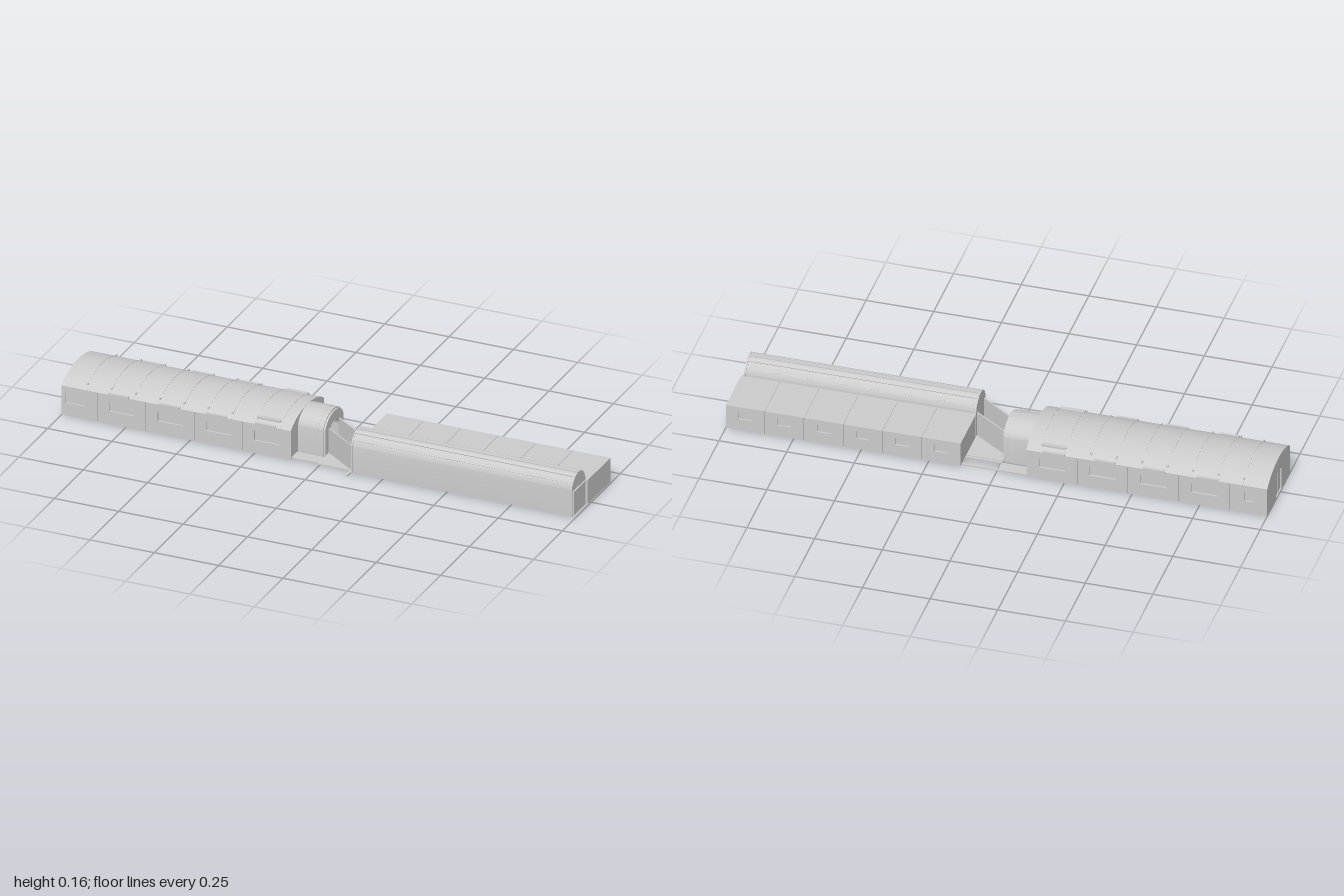
import * as THREE from 'three';
import { toCreasedNormals } from 'three/addons/utils/BufferGeometryUtils.js';

const mat = new THREE.MeshStandardMaterial({ color: 0xcccccc, side: THREE.DoubleSide });

function add(parent, name, geo) {
  const mesh = new THREE.Mesh(geo, mat);
  mesh.name = name;
  parent.add(mesh);
  return mesh;
}

// Box given by its minimum and maximum on each axis
function box(parent, name, x0, x1, y0, y1, z0, z1) {
  const mesh = add(parent, name, new THREE.BoxGeometry(x1 - x0, y1 - y0, z1 - z0));
  mesh.position.set((x0 + x1) / 2, (y0 + y1) / 2, (z0 + z1) / 2);
  return mesh;
}

// Upright outline with an elliptical crown: half width, springing height, crown height
function archPath(path, half, y0, spring, top, a0 = 0) {
  path.moveTo(-half, y0);
  path.lineTo(half, y0);
  path.lineTo(half, spring);
  const n = 28;
  for (let i = 1; i <= n; i++) {
    const a = a0 + ((Math.PI - 2 * a0) * i) / n;
    const y = spring + ((top - spring) * (Math.sin(a) - Math.sin(a0))) / (1 - Math.sin(a0));
    path.lineTo((half * Math.cos(a)) / Math.cos(a0), y);
  }
  path.lineTo(-half, y0);
  return path;
}

// Extrudes an outline along x, from x0 to x1, centred on z
function along(parent, name, shape, x0, x1, z) {
  const geo = new THREE.ExtrudeGeometry(shape, { depth: x1 - x0, bevelEnabled: false });
  const mesh = add(parent, name, toCreasedNormals(geo.rotateY(Math.PI / 2), 0.5));
  mesh.position.set(x0, 0, z);
  return mesh;
}

// Wall panel with a rounded window opening, facing z
function windowPanel(parent, x0, x1, wx0, wx1, wy0, wy1, height, z, depth) {
  const s = new THREE.Shape();
  s.moveTo(x0, 0).lineTo(x1, 0).lineTo(x1, height).lineTo(x0, height).closePath();
  const h = new THREE.Path();
  h.moveTo(wx0, wy0).lineTo(wx0, wy1).lineTo(wx1, wy1).lineTo(wx1, wy0).closePath();
  s.holes.push(h);
  const geo = new THREE.ExtrudeGeometry(s, { depth, bevelEnabled: false });
  add(parent, 'windowPanel', geo).position.z = z;
}

// Long hall with a shallow vaulted roof
function makeHall() {
  const g = new THREE.Group();
  g.name = 'vaultedHall';
  const zc = -0.017, half = 0.145, wall = 0.006;
  along(g, 'hallCore', archPath(new THREE.Shape(), half - wall, 0, 0.113, 0.153, 0.6), -0.995, -0.112, zc);
  const roof = archPath(new THREE.Shape(), half, 0.113, 0.115, 0.157, 0.6);
  along(g, 'hallRoof', roof, -1, -0.11, zc);

  // Window bays on both long sides
  const bays = [-1, -0.86, -0.673, -0.485, -0.298, -0.11];
  for (let i = 0; i < 5; i++) {
    const x0 = bays[i] + (i ? 0.0015 : 0), x1 = bays[i + 1] - 0.0015, c = (x0 + x1) / 2;
    const first = i === 0;
    windowPanel(g, x0, x1, first ? -0.985 : c - 0.048, first ? -0.905 : c + 0.048,
      0.05, 0.088, 0.113, zc + half - wall, wall);
    windowPanel(g, x0, x1, first ? -0.95 : c - 0.048, first ? -0.915 : c + 0.048,
      0.05, 0.088, 0.113, zc - half, wall);
    // Sill and glass divider
    for (const s of [-1, 1]) {
      const z = zc + s * (half - 0.001);
      if (!first) box(g, 'windowSill', c - 0.052, c + 0.052, 0.046, 0.05, z - 0.002, z + 0.002);
    }
  }
  // Roof seams and small vents near the eaves
  for (let i = 0; i < 9; i++) {
    const x = -0.908 + i * 0.094;
    const rib = archPath(new THREE.Shape(), half, 0.113, 0.1155, 0.1582, 0.6);
    along(g, 'roofSeam', rib, x - 0.0015, x + 0.0015, zc);
    for (const s of [-1, 1]) {
      if (i < 7) box(g, 'roofVent', x - 0.003, x + 0.003, 0.125, 0.134, zc + s * 0.124 - 0.004, zc + s * 0.124 + 0.004);
    }
  }
  // Eave boxes above the windows
  for (const x of [-0.78, -0.58, -0.4, -0.21]) for (const s of [-1, 1]) {
    const z = zc + s * 0.143;
    box(g, 'eaveBox', x - 0.04, x + 0.04, 0.114, 0.121, z - 0.005, z + 0.005);
  }
  for (const s of [-1, 1]) box(g, 'roofHatch', -0.25, -0.16, 0.126, 0.136, zc + s * 0.118 - 0.008, zc + s * 0.118 + 0.008);

  // End walls, with a framed door at the far end
  const endWall = archPath(new THREE.Shape(), half - 0.001, 0, 0.115, 0.156, 0.6);
  endWall.holes.push(archPath(new THREE.Path(), 0.035, 0.004, 0.09, 0.1));
  along(g, 'endWall', endWall, -1, -0.994, zc);
  along(g, 'innerEndWall', archPath(new THREE.Shape(), half - 0.001, 0, 0.115, 0.156, 0.6), -0.114, -0.11, zc);
  box(g, 'doorSeam', -0.998, -0.994, 0.004, 0.098, zc - 0.001, zc + 0.001);
  return g;
}

// Arched vestibule, low angled passage and the floor plate joining both buildings
function makeLink() {
  const g = new THREE.Group();
  g.name = 'link';
  const zc = -0.017;
  const rounded = [[-0.11, -0.03, 0.083, 0.157], [-0.03, -0.012, 0.082, 0.156], [-0.012, -0.005, 0.078, 0.151]];
  for (const [x0, x1, half, top] of rounded) {
    const s = archPath(new THREE.Shape(), half, 0.004, 0.1, top);
    s.holes.push(archPath(new THREE.Path(), 0.042, 0.006, 0.08, 0.115));
    along(g, 'vestibule', s, x0, x1, zc);
  }
  // Diagonal walls
  const wall = (xa, za, xb, zb) => {
    const len = Math.hypot(xb - xa, zb - za);
    const m = add(g, 'passageWall', new THREE.BoxGeometry(len, 0.1, 0.005));
    m.position.set((xa + xb) / 2, 0.054, (za + zb) / 2);
    m.rotation.y = -Math.atan2(zb - za, xb - xa);
  };
  wall(-0.008, -0.062, 0.13, 0.035);
  wall(-0.008, 0.028, 0.13, 0.128);
  // Floor plates, side beams and the projecting step
  box(g, 'floorPlate', -0.005, 0.13, 0.003, 0.008, -0.1, 0.128);
  for (const [z0, z1] of [[-0.16, -0.112], [0.072, 0.122]]) box(g, 'sidePlate', -0.11, -0.003, 0.003, 0.008, z0, z1);
  box(g, 'sideBeam', -0.003, 0.13, 0.003, 0.008, -0.112, -0.104);
  box(g, 'sideBeam', -0.003, 0.13, 0.003, 0.008, -0.16, -0.152);
  box(g, 'step', 0.121, 0.13, 0.003, 0.009, 0.12, 0.17);
  return g;
}

// Narrow barrel-roofed corridor with a flat-roofed annex behind it
function makeWing() {
  const g = new THREE.Group();
  g.name = 'wing';
  const zc = 0.083, x0 = 0.13, x1 = 0.988;
  along(g, 'corridor', archPath(new THREE.Shape(), 0.056, 0.004, 0.1, 0.154), x0, x1, zc);
  // Lengthwise roof strips following the barrel
  for (const a of [0.65, 1.15, 1.57, 2, 2.5]) {
    const strip = box(g, 'roofStrip', x0 + 0.003, x1 - 0.003, -0.002, 0.002, -0.006, 0.006);
    strip.position.y = 0.1 + 0.0545 * Math.sin(a);
    strip.position.z = zc + 0.0565 * Math.cos(a);
    strip.rotation.x = Math.PI / 2 - a;
  }
  // Arched end rims and end door
  for (const x of [x0, x1 - 0.006]) {
    const rim = archPath(new THREE.Shape(), 0.059, 0.004, 0.1, 0.156);
    rim.holes.push(archPath(new THREE.Path(), 0.054, 0.006, 0.1, 0.151));
    along(g, 'archRim', rim, x, x + 0.006, zc);
  }
  box(g, 'endDoor', x1, x1 + 0.005, 0.008, 0.1, zc - 0.047, zc + 0.051);

  // Annex split in six bays, each with a rear window
  box(g, 'annexCore', x0 + 0.002, 0.998, 0.004, 0.098, -0.162, 0.028);
  const step = (1 - x0) / 6;
  for (let i = 0; i < 6; i++) {
    const a = x0 + i * step + 0.001, b = x0 + (i + 1) * step - 0.001, c = (a + b) / 2;
    box(g, 'annexRoof', a, b, 0.097, 0.1, -0.168, 0.028);
    const panel = new THREE.Group();
    panel.name = 'rearWall';
    panel.position.y = 0.004;
    windowPanel(panel, a, b, c - 0.025, c + 0.025, 0.045, 0.075, 0.094, -0.168, 0.006);
    g.add(panel);
  }
  return g;
}

export function createModel() {
  const model = new THREE.Group();
  model.name = 'linkedBuildings';
  model.add(makeHall(), makeLink(), makeWing());
  return model;
}
